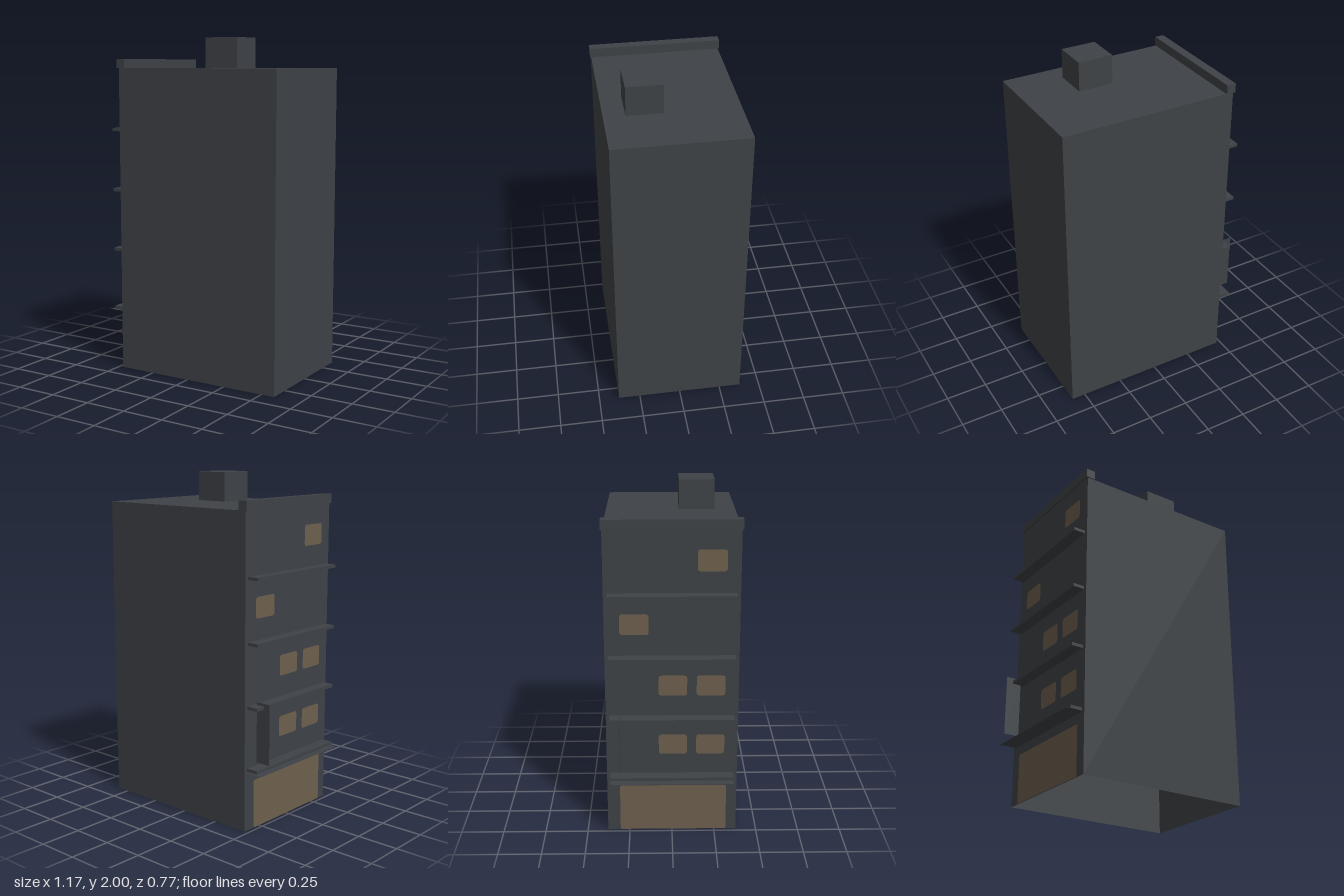
import * as THREE from 'three';

export function createModel() {
  const group = new THREE.Group();
  const concrete = new THREE.MeshStandardMaterial({ color: 0x3e4246, side: THREE.DoubleSide });
  concrete.name = 'dark concrete';
  const glow = new THREE.MeshStandardMaterial({ color: 0x6e5f4d, side: THREE.DoubleSide });
  glow.name = 'warm window';

  const add = (name, geometry, material, x, y, z) => {
    const mesh = new THREE.Mesh(geometry, material);
    mesh.name = name;
    mesh.position.set(x, y, z);
    group.add(mesh);
    return mesh;
  };
  // Box given by its minimum and maximum on each axis
  const box = (name, [x0, x1], [y0, y1], [z0, z1]) => add(name,
    new THREE.BoxGeometry(x1 - x0, y1 - y0, z1 - z0), concrete,
    (x0 + x1) / 2, (y0 + y1) / 2, (z0 + z1) / 2);

  const wallX = -0.475;
  const floorHeight = 0.365;

  // Hollow tower, open underneath
  const body = box('building', [wallX, 0.583], [0, 1.826], [-0.38, 0.38]);
  const index = Array.from(body.geometry.index.array);
  index.splice(18, 6);
  body.geometry.setIndex(index);
  body.geometry.clearGroups();

  // Roof parts
  box('parapet', [-0.485, -0.43], [1.826, 1.88], [-0.387, 0.387]);
  box('roofHousing', [0.055, 0.265], [1.826, 2], [0.048, 0.257]);

  // Ledge at each floor
  for (let i = 1; i <= 4; i++) {
    const y = i * floorHeight;
    box('floorLedge', [-0.546, wallX], [y - 0.009, y + 0.009], [-0.358, 0.358]);
  }

  // Flat awning sheet over the shopfront
  const awning = add('awning', new THREE.PlaneGeometry(0.105, 0.716), concrete, -0.5275, 0.349, 0);
  awning.rotation.x = -Math.PI / 2;

  // Hanging blank sign sheet
  add('hangingSign', new THREE.PlaneGeometry(0.092, 0.355), concrete, -0.541, 0.578, -0.3);

  // Softly cornered facade pane
  const pane = (w, h, r) => {
    const a = w / 2, b = h / 2, s = new THREE.Shape();
    s.moveTo(-a + r, -b);
    s.lineTo(a - r, -b).quadraticCurveTo(a, -b, a, -b + r);
    s.lineTo(a, b - r).quadraticCurveTo(a, b, a - r, b);
    s.lineTo(-a + r, b).quadraticCurveTo(-a, b, -a, b - r);
    s.lineTo(-a, -b + r).quadraticCurveTo(-a, -b, -a + r, -b);
    return new THREE.ShapeGeometry(s, 4);
  };
  const addPane = (name, geometry, y, z) => {
    add(name, geometry, glow, wallX - 0.004, y, z).rotation.y = -Math.PI / 2;
  };

  // Lit windows: [floor, column]
  const windowPane = pane(0.163, 0.122, 0.018);
  for (const [floor, column] of [[1, 0], [1, 1], [2, 0], [2, 1], [3, -1], [4, 1]]) {
    addPane('litWindow', windowPane, 0.193 + floor * floorHeight, 0.005 + column * 0.217);
  }
  addPane('shopfront', pane(0.625, 0.29, 0.012), 0.147, 0.007);

  return group;
}
